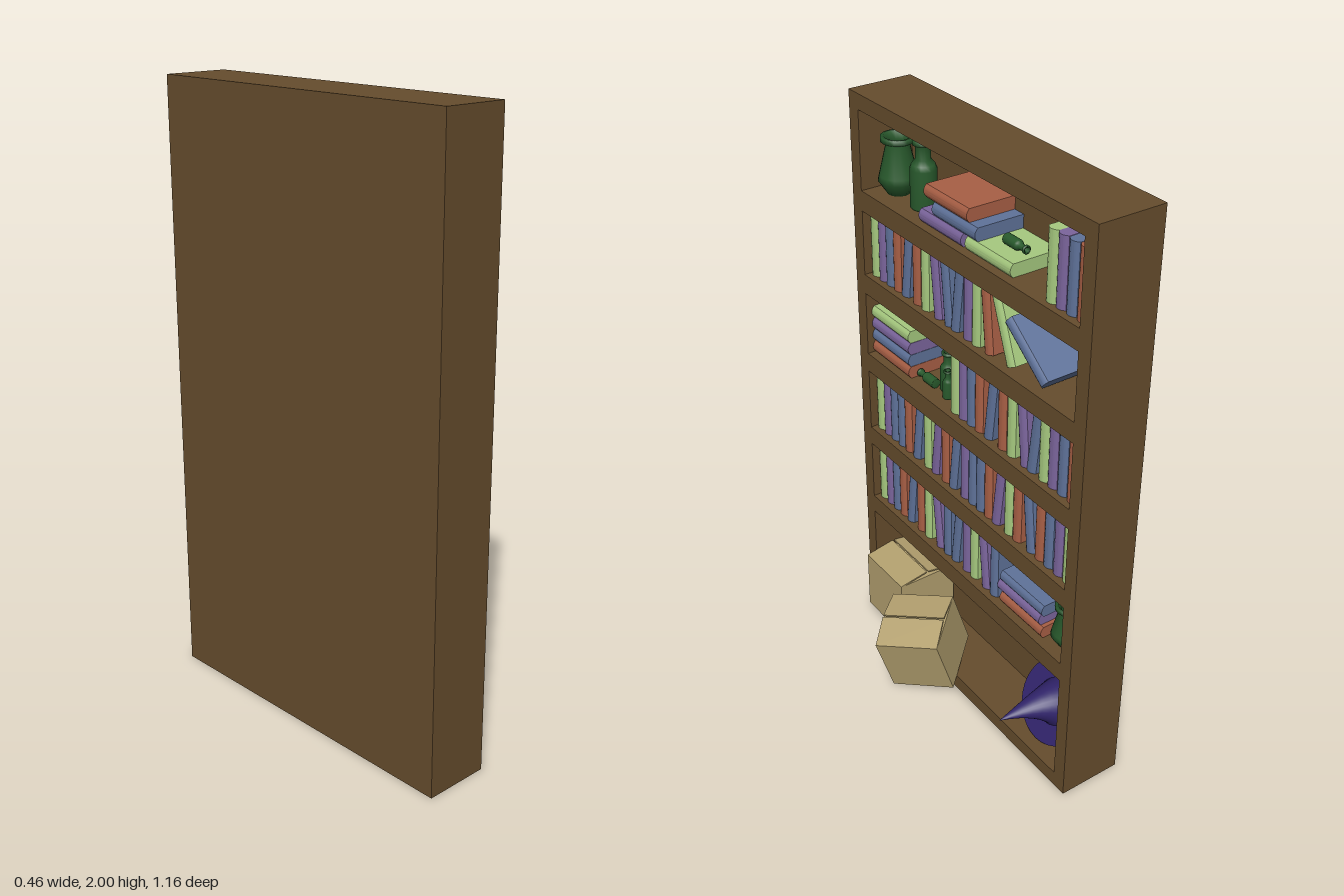
import * as THREE from 'three';
import { toCreasedNormals } from 'three/addons/utils/BufferGeometryUtils.js';

const mat = (name, color, side = THREE.FrontSide) => {
  const m = new THREE.MeshStandardMaterial({ color, side });
  m.name = name;
  return m;
};

export function createModel() {
  const model = new THREE.Group();
  const wood = mat('wood', 0x664d2d);
  const card = mat('cardboard', 0xb3a06f);
  const glass = mat('greenGlass', 0x28592c, THREE.DoubleSide);
  const felt = mat('purpleFelt', 0x30236a, THREE.DoubleSide);
  const cloth = {
    g: mat('greenCover', 0xa6c97f), p: mat('purpleCover', 0x7b659c),
    b: mat('blueCover', 0x5f7299), r: mat('redCover', 0xa85f45),
  };

  const add = (name, geo, material, x, y, z, parent = model) => {
    const m = new THREE.Mesh(geo, material);
    m.name = name;
    m.position.set(x, y, z);
    parent.add(m);
    return m;
  };
  // Box given by its limits on each axis
  const slab = (name, x0, x1, y0, y1, z0, z1) => add(name,
    new THREE.BoxGeometry(x1 - x0, y1 - y0, z1 - z0), wood,
    (x0 + x1) / 2, (y0 + y1) / 2, (z0 + z1) / 2);

  // Bookcase, open towards +x, hollow under its floor
  slab('backPanel', -0.23, -0.2, 0, 2, -0.58, 0.58);
  slab('leftSide', -0.2, -0.01, 0, 2, 0.53, 0.58);
  slab('rightSide', -0.2, -0.01, 0, 2, -0.58, -0.53);
  slab('topBoard', -0.2, -0.01, 1.95, 2, -0.53, 0.53);
  slab('floorBoard', -0.2, -0.01, 0.04, 0.055, -0.53, 0.53);
  slab('baseRail', -0.025, -0.01, 0, 0.04, -0.53, 0.53);
  const shelfTops = [1.692, 1.405, 1.114, 0.822, 0.53];
  shelfTops.forEach((y) => slab('shelf', -0.2, -0.01, y - 0.068, y, -0.53, 0.53));

  // One book with a rounded spine facing +x
  const H = 0.214, T = 0.042;
  const outline = new THREE.Shape();
  outline.moveTo(-0.085, -T / 2);
  outline.lineTo(0.075, -T / 2);
  outline.quadraticCurveTo(0.096, 0, 0.075, T / 2);
  outline.lineTo(-0.085, T / 2);
  let bookGeo = new THREE.ExtrudeGeometry(outline, { depth: H, bevelEnabled: false, curveSegments: 6 });
  bookGeo.translate(0, 0, -H / 2);
  bookGeo.rotateX(-Math.PI / 2);
  bookGeo = toCreasedNormals(bookGeo, 0.6);
  const book = (c, y, z, lean = 0) => {
    add('book', bookGeo, cloth[c], -0.115, y, z).rotation.x = lean;
  };

  // Standing rows: colour, z in thousandths, then / or \ for a lean
  const rows = [
    'g-374 p-416 b-460 r-504',
    'g507 p464 b422 r379 b324/ r271 g225 p167\\ b112\\ b56/ p3 g-40 r-93\\',
    'g69 p27 b-16 r-58 b-117/ r-175 g-220 p-276\\ b-330/ g-374 p-416 b-460 r-504',
    'g507 p464 b422 b379 r337 b278/ g223 p170/ r122 b69/ p16 b-27 b-69 r-112 p-164/ g-217 r-260 b-318\\ r-371 b-414 p-460 g-504',
    'g507 p464 b422 r379 b324/ r271 g225 p167\\ b112 b56/ p3 g-40 p-95\\ b-150',
  ];
  rows.forEach((row, i) => row.split(' ').forEach((t) => {
    const lean = t.endsWith('/') ? -0.11 : t.endsWith('\\') ? 0.11 : 0;
    book(t[0], shelfTops[i] + H / 2, parseInt(t.slice(1)) / 1000, lean);
  }));
  // Books that have slipped over
  book('g', 1.513, -0.172, 0.37);
  book('b', 1.493, -0.28, 0.93);

  // Lying books: colour, shelf, layer, z
  const lying = [
    ['p', 0, 0, 0.134], ['g', 0, 0, -0.1], ['b', 0, 1, 0.065], ['r', 0, 2, 0.106],
    ['r', 2, 0, 0.422], ['b', 2, 1, 0.422], ['p', 2, 2, 0.422], ['g', 2, 3, 0.422],
    ['r', 4, 0, -0.3], ['p', 4, 1, -0.287], ['b', 4, 2, -0.3],
  ];
  lying.forEach(([c, s, layer, z]) =>
    book(c, shelfTops[s] + T / 2 + layer * (T + 0.001), z, Math.PI / 2));

  // Pots and bottles
  const turned = (pts) => new THREE.LatheGeometry(pts.map(([r, y]) => new THREE.Vector2(r, y)), 16);
  const potGeo = turned([[0, 0], [0.036, 0], [0.064, 0.042], [0.06, 0.06], [0.037, 0.158],
    [0.053, 0.166], [0.053, 0.182], [0.042, 0.182], [0.03, 0.158], [0.05, 0.05], [0, 0.02]]);
  const bottleGeo = turned([[0, 0], [0.038, 0], [0.042, 0.006], [0.042, 0.125], [0.036, 0.14],
    [0.024, 0.155], [0.024, 0.198], [0.033, 0.2], [0.033, 0.214], [0.02, 0.214], [0.018, 0.16], [0, 0.15]]);
  add('pot', potGeo, glass, -0.1, 1.692, 0.456);
  add('pot', potGeo, glass, -0.09, 0.53, -0.468).scale.set(0.88, 0.85, 0.88);
  add('bottle', bottleGeo, glass, -0.1, 1.692, 0.318);
  const small = (x, y, z, width, height, tip = 0) => {
    const m = add('smallBottle', bottleGeo, glass, x, y, z);
    m.scale.set(width, height, width);
    m.rotation.x = tip;
  };
  small(-0.1, 1.752, -0.095, 0.4, 0.44, -Math.PI / 2);
  small(-0.1, 1.114, 0.192, 0.64, 0.64);
  small(-0.07, 1.114, 0.152, 0.4, 0.46);
  small(-0.07, 1.131, 0.217, 0.4, 0.42, Math.PI / 2);

  // Cardboard boxes with two slightly raised lid flaps
  const S = 0.224;
  const carton = (x, y, z, yaw, tilt) => {
    const g = new THREE.Group();
    g.name = 'cardboardBox';
    add('boxBody', new THREE.BoxGeometry(S, S, S), card, 0, 0, 0, g);
    for (const s of [-1, 1]) {
      const hinge = new THREE.Group();
      hinge.name = 'lidFlap';
      hinge.position.set(0, S / 2, s * S / 2);
      hinge.rotation.x = s * 0.17;
      add('flap', new THREE.BoxGeometry(S, 0.005, 0.11), card, 0, 0, -s * 0.055, hinge);
      g.add(hinge);
    }
    g.rotation.set(0, yaw, tilt, 'ZYX');
    g.position.set(x, y, z);
    model.add(g);
  };
  carton(-0.082, 0.167, 0.415, -Math.PI / 2, 0);
  carton(0.046, 0.155, 0.143, -0.885, -0.305);

  // Pointed hat leaning on the back panel
  const hat = new THREE.Group();
  hat.name = 'pointedHat';
  add('hatBrim', new THREE.CylinderGeometry(0.146, 0.148, 0.014, 32), felt, 0, 0, 0, hat);
  const coneGeo = new THREE.CylinderGeometry(0.001, 0.082, 0.174, 24, 8, true);
  coneGeo.translate(0, 0.087, 0);
  const p = coneGeo.attributes.position;
  for (let i = 0; i < p.count; i++) {
    const t = p.getY(i) / 0.174;
    p.setX(i, p.getX(i) + 0.105 * t * t);
    p.setZ(i, p.getZ(i) + 0.037 * t * t);
  }
  coneGeo.computeVertexNormals();
  add('hatCone', coneGeo, felt, 0, 0, 0, hat);
  hat.rotation.z = -1.03;
  hat.position.set(-0.13, 0.186, -0.382);
  model.add(hat);

  return model;
}
